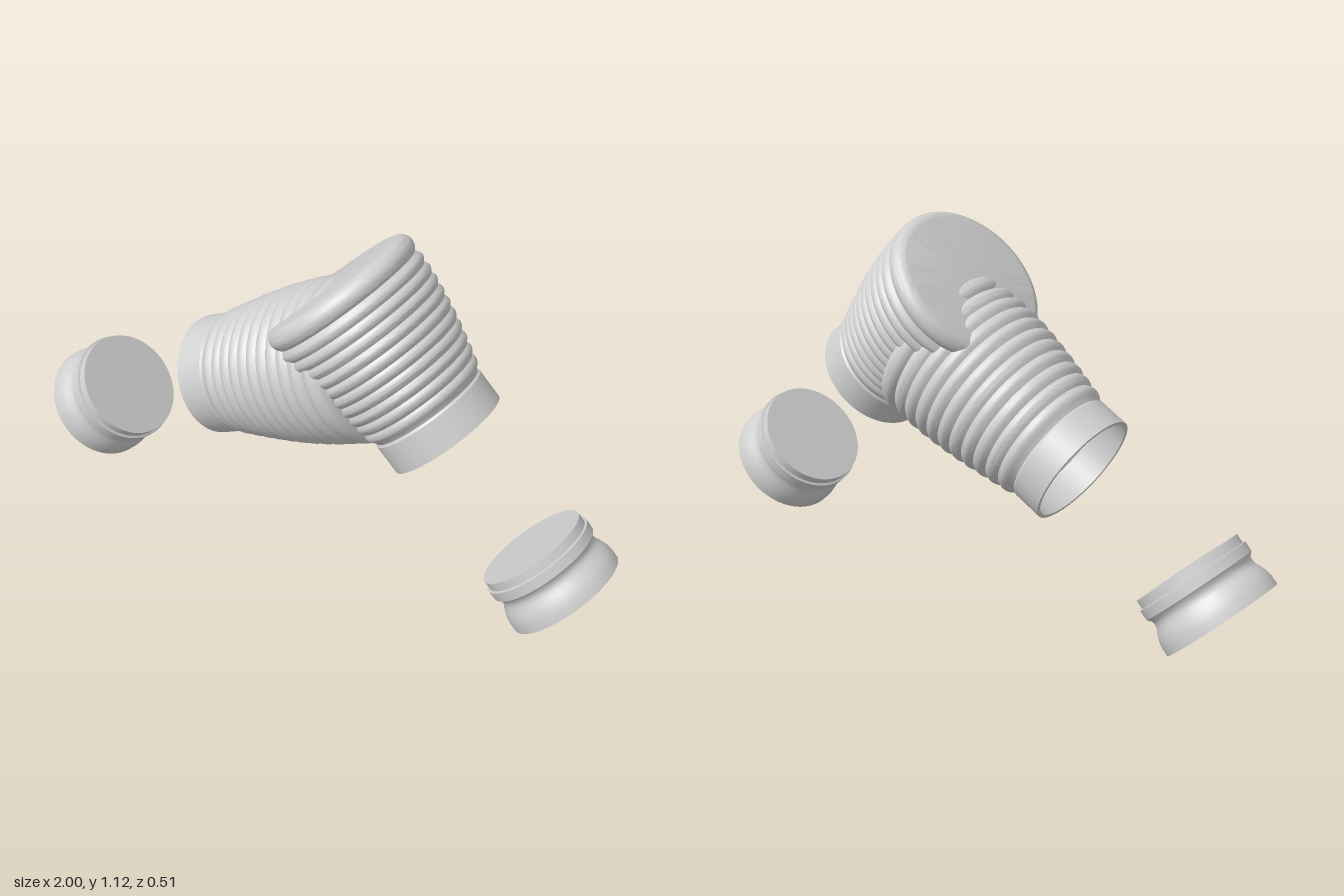
import * as THREE from 'three';
import { toCreasedNormals } from 'three/addons/utils/BufferGeometryUtils.js';

const V = (r, y) => new THREE.Vector2(r, y);

function lathe(points, crease) {
  return toCreasedNormals(new THREE.LatheGeometry(points, 96), crease);
}

// Outer profile of a socket from its open mouth (y = 0) to its rounded closed end (y = length)
function socketProfile(length) {
  const pts = [V(0.187, 0), V(0.187, 0.095), V(0.182, 0.102), V(0.187, 0.112)];
  const start = 0.112, end = length - 0.07, ribs = 10, steps = 6;
  // Ribs swell along a widening body
  for (let i = 1; i <= ribs * steps; i++) {
    const s = i / (ribs * steps);
    const body = 0.187 + 0.058 * Math.sin(s * Math.PI / 2);
    const rib = 0.009 * Math.abs(Math.sin(s * ribs * Math.PI));
    pts.push(V(body + rib, start + s * (end - start)));
  }
  // Rounded bead at the closed end
  for (let i = 0; i <= 12; i++) {
    const a = -0.9 + (i / 12) * (Math.PI / 2 + 0.9);
    pts.push(V(0.218 + 0.037 * Math.cos(a), length - 0.037 + 0.037 * Math.sin(a)));
  }
  return pts;
}

// Hollow socket: inner wall down to the mouth, then outer wall up to the end
function socketGeometry(length) {
  const wall = 0.012;
  const outer = socketProfile(length);
  const inner = outer.map(p => V(p.x - wall, p.y === 0 ? 0 : Math.min(p.y, length - wall))).reverse();
  return lathe([V(0, length - wall), ...inner, ...outer, V(0, length)], 0.6);
}

// Solid plug with a waist, a flange and a stepped top
function plugGeometry() {
  return lathe([
    V(0, 0), V(0.187, 0), V(0.187, 0.025), V(0.184, 0.045), V(0.177, 0.065),
    V(0.169, 0.08), V(0.166, 0.092), V(0.168, 0.104), V(0.179, 0.116),
    V(0.18, 0.148), V(0.172, 0.15), V(0.172, 0.178), V(0, 0.178),
  ], 0.6);
}

export function createModel() {
  const model = new THREE.Group();
  const grey = new THREE.MeshStandardMaterial({ color: 0xcfcfcf });
  grey.name = 'light grey';

  // Places a part with its base centre at (x, y) and its axis at an angle from +x
  const add = (name, geometry, x, y, degrees) => {
    const mesh = new THREE.Mesh(geometry, grey);
    mesh.name = name;
    mesh.position.set(x, y, 0);
    mesh.rotation.z = THREE.MathUtils.degToRad(degrees - 90);
    model.add(mesh);
  };

  // Two ribbed sockets crossing at their closed ends
  add('rightSocket', socketGeometry(0.62), -0.369, 0.4545, 27.6);
  add('leftSocket', socketGeometry(0.557), 0.444, 0.561, 135);

  // Loose end plugs, mirrored
  const plug = plugGeometry();
  add('leftPlug', plug, 0.867, 0.133, 135);
  add('rightPlug', plug, -0.867, 0.133, 45);
  return model;
}
